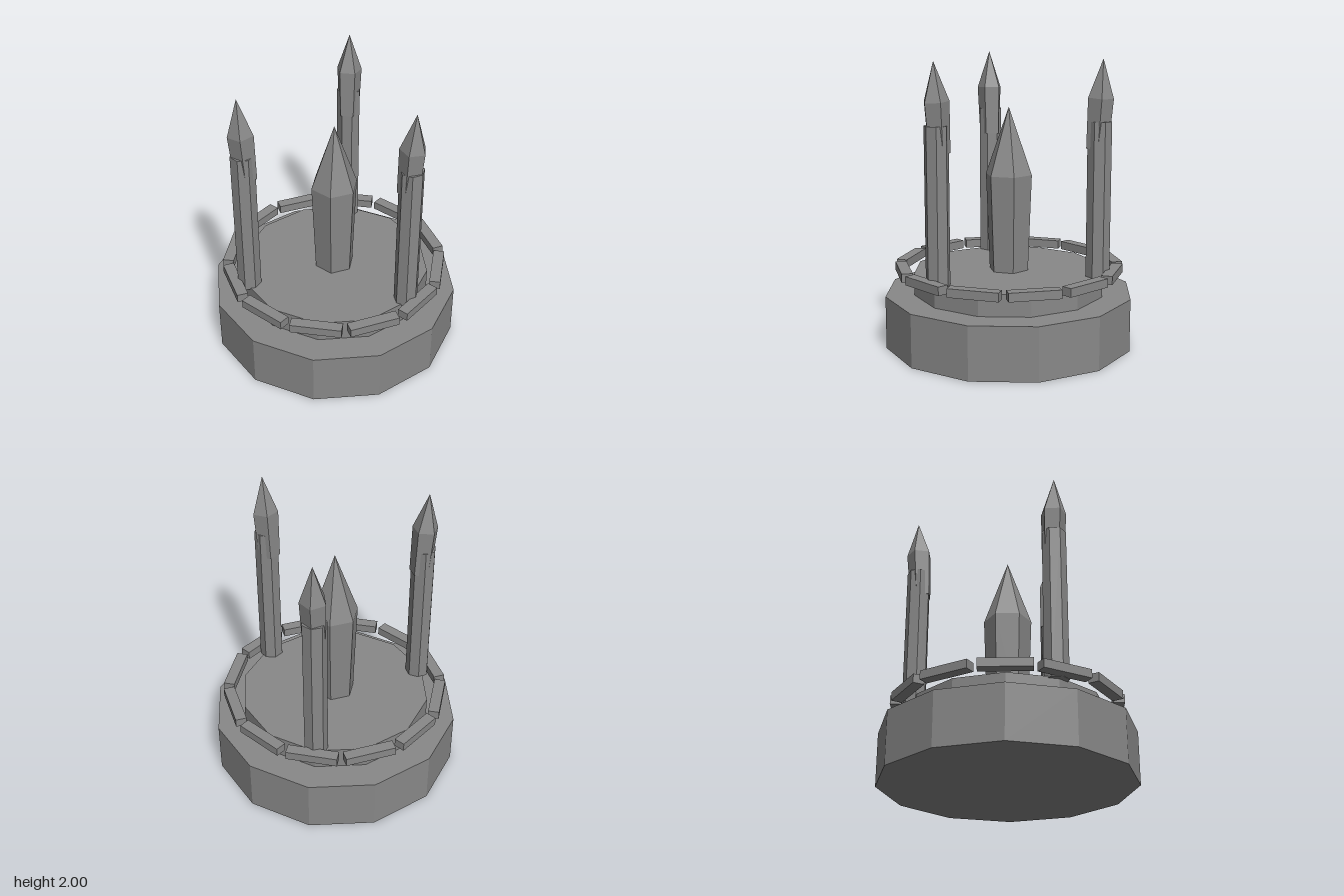
import * as THREE from 'three';

export function createModel() {
  const model = new THREE.Group();
  const stone = new THREE.MeshStandardMaterial({ color: 0x888888, flatShading: true });
  stone.name = 'stoneGrey';

  function add(parent, name, geometry, x = 0, y = 0, z = 0) {
    const mesh = new THREE.Mesh(geometry, stone);
    mesh.name = name;
    mesh.position.set(x, y, z);
    parent.add(mesh);
    return mesh;
  }

  // Upright prism with a corner pointing along +x
  const prism = (radius, bottom, top, sides) =>
    new THREE.CylinderGeometry(radius, radius, top - bottom, sides, 1, false, Math.PI / 2)
      .translate(0, (bottom + top) / 2, 0);

  // Faceted spike turned from [radius, height] pairs, corner along +x
  const spike = (profile, sides) =>
    new THREE.LatheGeometry(profile.map(([r, y]) => new THREE.Vector2(r, y)), sides, Math.PI / 2);

  // Stepped twelve-sided pedestal
  add(model, 'base', prism(0.87, 0, 0.37, 12));
  add(model, 'platform', prism(0.67, 0.37, 0.52, 12));

  // Ring of blocks around the platform
  const blockGeometry = new THREE.BoxGeometry(0.077, 0.06, 0.35);
  for (let i = 0; i < 12; i++) {
    const holder = new THREE.Group();
    holder.name = 'ringBlock';
    holder.rotation.y = (i * Math.PI) / 6;
    add(holder, 'block', blockGeometry, 0.738, 0.542, 0);
    model.add(holder);
  }

  // Central crystal, widening upward to a point
  add(model, 'centreCrystal', spike([[0, 0.52], [0.14, 0.52], [0.166, 1.195], [0, 1.66]], 6));

  // Three pillars, each with a head leaning slightly outward
  const shaftGeometry = prism(0.083, 0.51, 1.585, 7);
  const headGeometry = spike([[0, -0.34], [0.077, -0.34], [0.09, 0], [0, 0.26]], 5);
  for (let i = 0; i < 3; i++) {
    const pillar = new THREE.Group();
    pillar.name = 'pillar';
    pillar.rotation.y = (i * Math.PI * 2) / 3;
    add(pillar, 'pillarShaft', shaftGeometry, 0.636, 0, 0);
    add(pillar, 'pillarHead', headGeometry, 0.638, 1.74, 0).rotation.z = -0.06;
    model.add(pillar);
  }

  return model;
}
